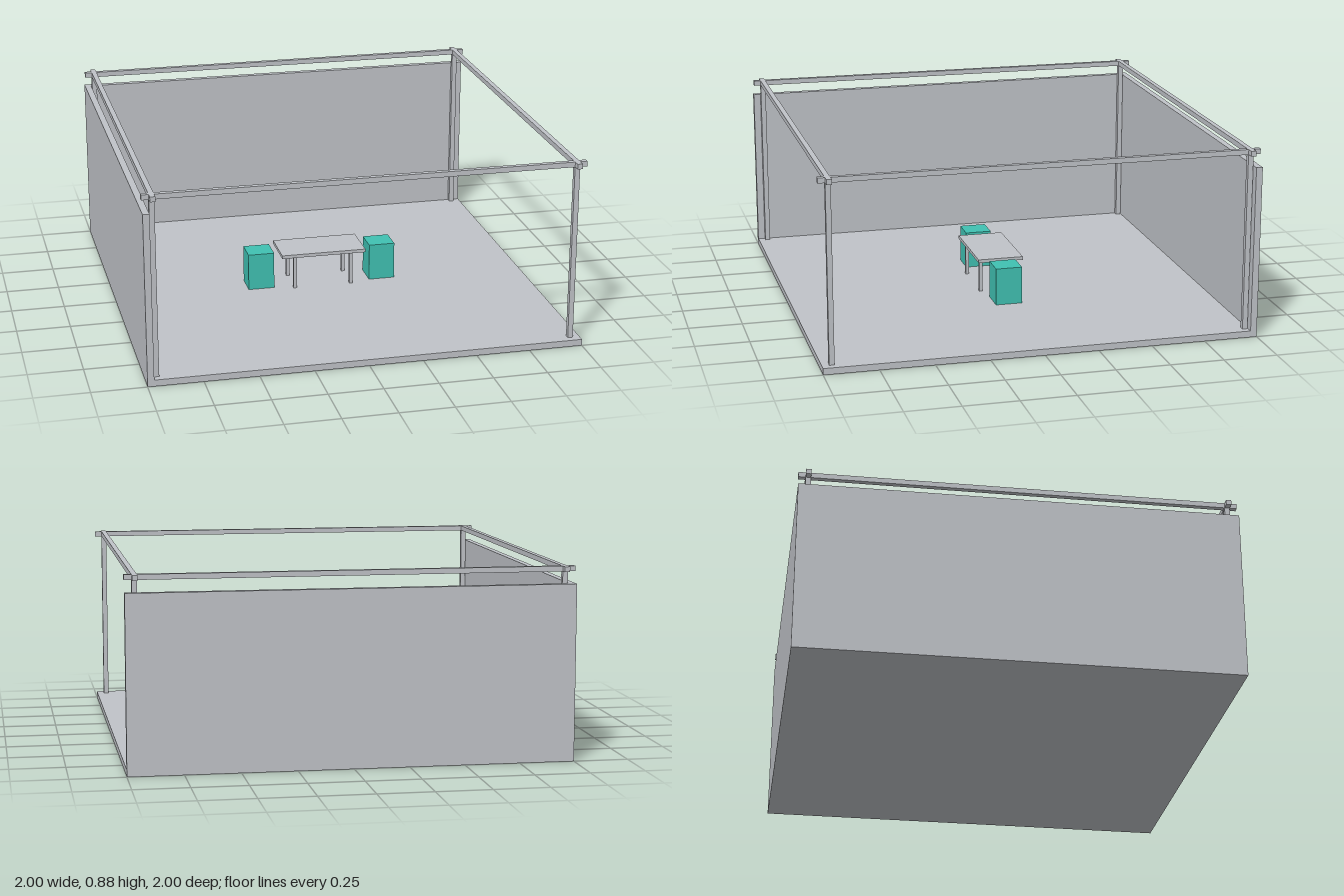
import * as THREE from 'three';

export function createModel() {
  const model = new THREE.Group();
  const grey = new THREE.MeshStandardMaterial({ color: 0xc0c3c8 });
  grey.name = 'light grey';
  const teal = new THREE.MeshStandardMaterial({ color: 0x40c1b2 });
  teal.name = 'teal';

  // Box given by its minimum and maximum on each axis
  function box(name, material, [x0, x1], [y0, y1], [z0, z1], parent = model) {
    const mesh = new THREE.Mesh(new THREE.BoxGeometry(x1 - x0, y1 - y0, z1 - z0), material);
    mesh.position.set((x0 + x1) / 2, (y0 + y1) / 2, (z0 + z1) / 2);
    mesh.name = name;
    parent.add(mesh);
  }
  const around = (centre, half) => [centre - half, centre + half];

  const floorTop = 0.03, wallTop = 0.8, wall = 0.03;

  // Floor and the two walls
  box('floor', grey, [-1, 1], [0, floorTop], [-1, 1]);
  box('backWall', grey, [-1, 1], [0, wallTop], [-1, -1 + wall]);
  box('rightWall', grey, [-1, -1 + wall], [0, wallTop], [-1 + wall, 1]);

  // Open frame: four corner posts and four crossing beams
  const frame = new THREE.Group();
  frame.name = 'frame';
  model.add(frame);
  const inset = 0.955, half = 0.012, beamY = [0.853, 0.877];
  for (const s of [-1, 1]) {
    for (const t of [-1, 1]) {
      box('post', grey, around(s * inset, half), [floorTop, beamY[1]], around(t * inset, half), frame);
    }
    box('crossBeam', grey, [-1, 1], beamY, around(s * inset, half), frame);
    box('sideBeam', grey, around(s * inset, half), beamY, [-1, 1], frame);
  }

  // Table
  const table = new THREE.Group();
  table.name = 'table';
  model.add(table);
  box('tableTop', grey, [-0.206, 0.206], [0.192, 0.208], [-0.109, 0.109], table);
  for (const s of [-1, 1]) {
    for (const t of [-1, 1]) {
      box('tableLeg', grey, around(s * 0.139, 0.008), [floorTop, 0.192], around(t * 0.083, 0.008), table);
    }
  }

  // Block seats at either end of the table
  for (const s of [-1, 1]) {
    box(s > 0 ? 'leftSeat' : 'rightSeat', teal, around(s * 0.3, 0.063), [floorTop, 0.208], [-0.063, 0.063]);
  }

  return model;
}
